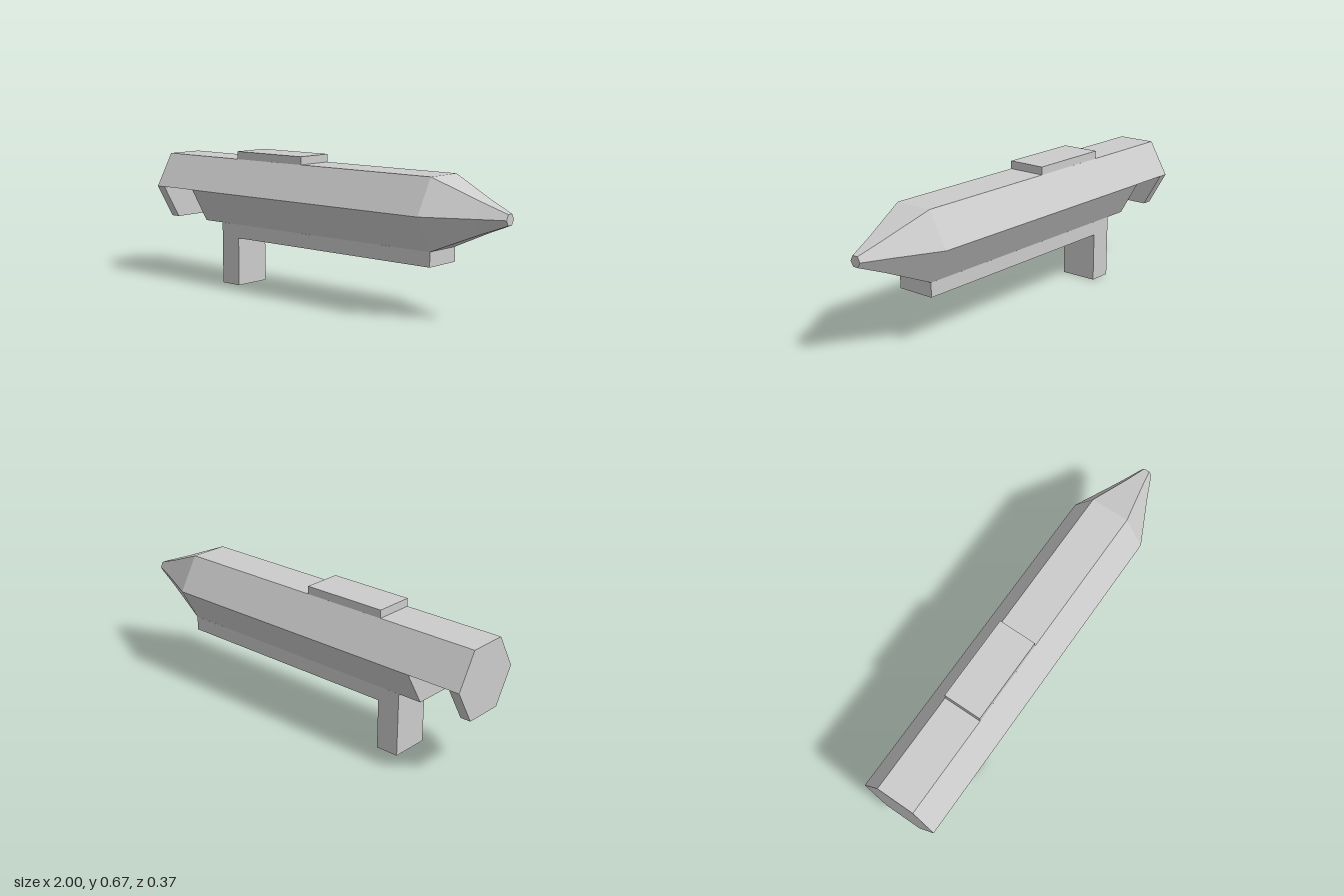
import * as THREE from 'three';

const AXIS_Y = 0.467;   // height of the barrel axis
const R = 0.187;        // hexagon corner radius
const RAIL_W = 0.187;   // width of rails and grip

// Hexagonal cross-section at x; a half section has its lower corners raised to the axis
function section({ x, r, half }) {
  return Array.from({ length: 6 }, (_, i) => {
    const a = (i * Math.PI) / 3;
    const y = half && i > 3 ? 0 : r * Math.sin(a);
    return new THREE.Vector3(x, AXIS_Y + y, r * Math.cos(a));
  });
}

// Skin consecutive sections and close both ends, with flat faces
function loft(sections) {
  const rings = sections.map(section);
  const pos = [];
  const tri = (a, b, c) => {
    if (new THREE.Triangle(a, b, c).getArea() < 1e-7) return;
    for (const p of [a, b, c]) pos.push(p.x, p.y, p.z);
  };
  for (let s = 0; s < rings.length - 1; s++) {
    for (let i = 0; i < 6; i++) {
      const j = (i + 1) % 6;
      const [p, q] = [rings[s], rings[s + 1]];
      tri(p[i], q[i], q[j]);
      tri(p[i], q[j], p[j]);
    }
  }
  const first = rings[0], last = rings[rings.length - 1];
  for (let i = 1; i < 5; i++) {
    tri(first[0], first[i], first[i + 1]);
    tri(last[0], last[i + 1], last[i]);
  }
  const geo = new THREE.BufferGeometry();
  geo.setAttribute('position', new THREE.Float32BufferAttribute(pos, 3));
  geo.computeVertexNormals();
  return geo;
}

export function createModel() {
  const model = new THREE.Group();
  const material = new THREE.MeshStandardMaterial({ color: 0xcccccc, flatShading: true });

  const add = (name, geometry) => {
    const mesh = new THREE.Mesh(geometry, material);
    mesh.name = name;
    model.add(mesh);
    return mesh;
  };
  const addBlock = (name, x0, x1, y0, y1) =>
    add(name, new THREE.BoxGeometry(x1 - x0, y1 - y0, RAIL_W))
      .position.set((x0 + x1) / 2, (y0 + y1) / 2, 0);

  // Body: tail plate, notch under the rear, long barrel and two-step tapered nose
  add('body', loft([
    { x: -1, r: R },
    { x: -0.95, r: R },
    { x: -0.95, r: R, half: true },
    { x: -0.74, r: R, half: true },
    { x: -0.74, r: R },
    { x: 0.66, r: R },
    { x: 0.88, r: 0.081 },
    { x: 1, r: 0.028 },
  ]));

  // Blocks above and below the body
  addBlock('topRail', -0.51, -0.09, 0.629, 0.667);
  addBlock('lowerRail', -0.51, 0.66, 0.237, 0.305);
  addBlock('grip', -0.623, -0.51, 0, 0.305);

  return model;
}
